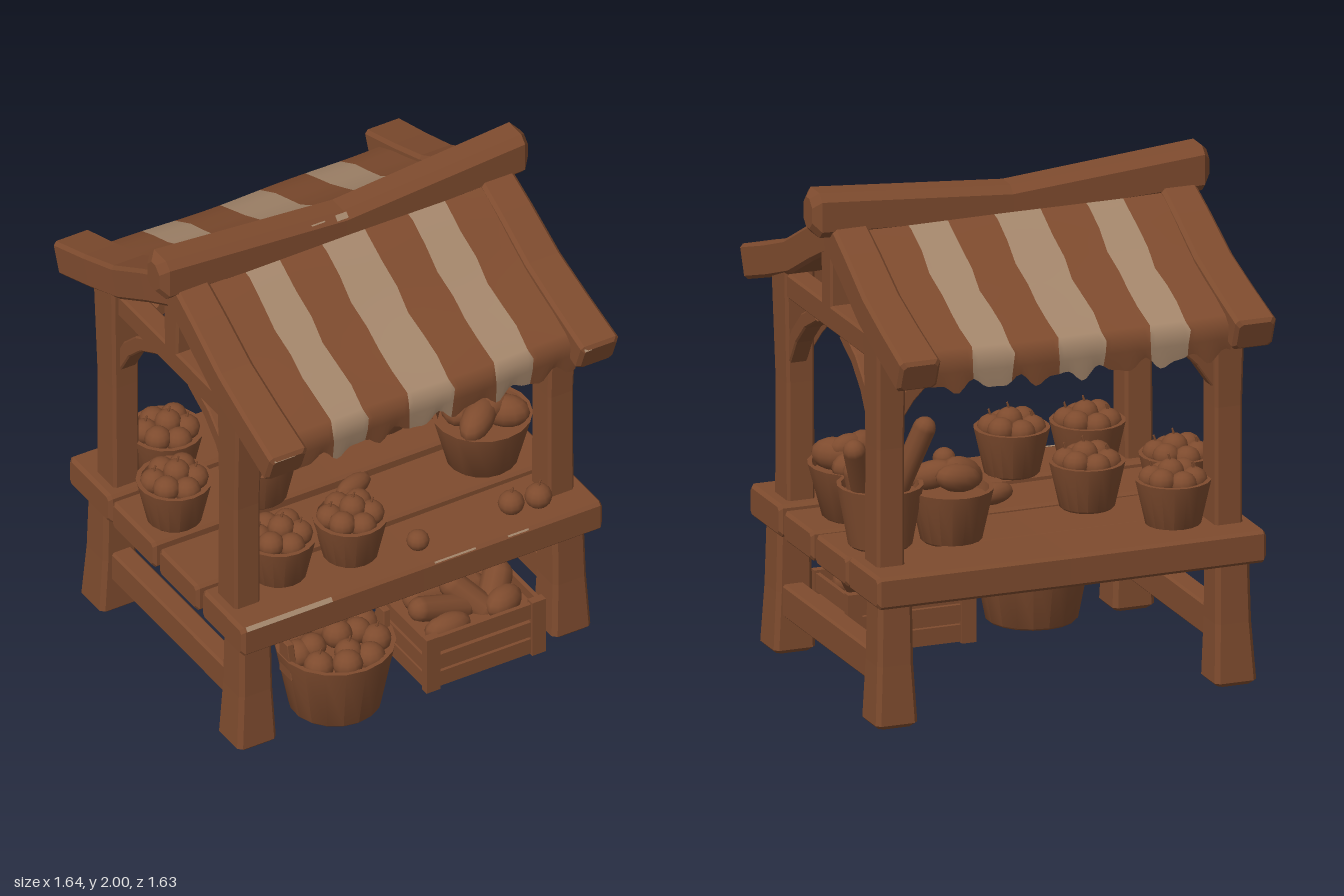
import * as THREE from 'three';
import { toCreasedNormals } from 'three/addons/utils/BufferGeometryUtils.js';

const wood = new THREE.MeshStandardMaterial({ color: 0x7e4b2e, side: THREE.DoubleSide });
wood.name = 'brown wood';
const cream = new THREE.MeshStandardMaterial({ color: 0xa4866b, side: THREE.DoubleSide });
cream.name = 'cream cloth';

const V3 = (x, y, z) => new THREE.Vector3(x, y, z);
const X = V3(1, 0, 0), Y = V3(0, 1, 0), Z = V3(0, 0, 1);

export function createModel() {
  const root = new THREE.Group();
  root.name = 'marketStall';

  const add = (name, geo, parent = root, mat = wood) => {
    const m = new THREE.Mesh(geo, mat);
    m.name = name;
    parent.add(m);
    return m;
  };

  // Chamfered timber lofted through stations [x, y, z, w, h]; w runs along U, h along V.
  function beam(name, stations, U, V, parent = root, bevel = 0.1) {
    const st = stations.map(s => ({ p: V3(s[0], s[1], s[2]), w: s[3], h: s[4] }));
    const c = bevel * Math.min(st[0].w, st[0].h);
    const capped = (a, b) => {
      const inner = { ...a, p: a.p.clone().add(b.p.clone().sub(a.p).setLength(c)) };
      return [{ p: a.p, w: a.w - 2 * c, h: a.h - 2 * c }, inner];
    };
    const n = st.length;
    const all = [...capped(st[0], st[1]), ...st.slice(1, -1), ...capped(st[n - 1], st[n - 2]).reverse()];
    const rings = all.map(({ p, w, h }) => {
      const a = w / 2, b = h / 2;
      return [[a, c - b], [a, b - c], [a - c, b], [c - a, b], [-a, b - c], [-a, c - b], [c - a, -b], [a - c, -b]]
        .map(([u, v]) => p.clone().addScaledVector(U, u).addScaledVector(V, v));
    });
    const flip = U.clone().cross(V).dot(st[n - 1].p.clone().sub(st[0].p)) < 0;
    const pos = [];
    const tri = (a, b, d) => (flip ? [a, d, b] : [a, b, d]).forEach(q => pos.push(q.x, q.y, q.z));
    for (let i = 0; i + 1 < rings.length; i++) for (let j = 0; j < 8; j++) {
      const k = (j + 1) % 8, A = rings[i], B = rings[i + 1];
      tri(A[j], A[k], B[k]);
      tri(A[j], B[k], B[j]);
    }
    const last = rings[rings.length - 1];
    for (let j = 1; j < 7; j++) {
      tri(rings[0][0], rings[0][j + 1], rings[0][j]);
      tri(last[0], last[j], last[j + 1]);
    }
    const g = new THREE.BufferGeometry();
    g.setAttribute('position', new THREE.Float32BufferAttribute(pos, 3));
    g.computeVertexNormals();
    return add(name, g, parent);
  }

  // Counter planks
  [[0.495, 0.31, 0.565, 0.13], [0.165, 0.29, 0.56, 0.12], [-0.17, 0.32, 0.56, 0.12], [-0.495, 0.31, 0.565, 0.13]]
    .forEach(([z, d, y, h]) => beam('counterPlank',
      [[-0.81, y, z, d, h], [0, y - 0.004, z, d - 0.008, h], [0.795, y, z, d, h]], Z, Y));

  // Posts, rafters and braces at the four corners
  const roof = [[0, 1.89], [0.2, 1.79], [0.4, 1.68], [0.6, 1.607], [0.82, 1.535]];
  for (const sx of [-1, 1]) {
    for (const sz of [-1, 1]) {
      beam('leg', [[sx * 0.7 - 0.008, 0, sz * 0.513, 0.172, 0.168], [sx * 0.698 - 0.006, 0.25, sz * 0.508, 0.148, 0.15],
        [sx * 0.696 - 0.006, 0.53, sz * 0.505, 0.14, 0.142]], X, Z);
      beam('post', [[sx * 0.698 - 0.01, 0.6, sz * 0.45, 0.115, 0.14], [sx * 0.698 - 0.01, 1.1, sz * 0.452, 0.114, 0.132],
        [sx * 0.7 - 0.008, 1.6, sz * 0.464, 0.125, 0.155]], X, Z);
      const up = V3(0, 0.93, 0.36 * sz);
      beam('rafter', roof.map(([z, y], i) =>
        [sx * (0.677 + 0.004 * i) - 0.007, y - 0.064, sz * (z - 0.024), 0.147 + 0.005 * i, 0.138]), X, up);
      beam('sideBrace', [[0.41, 1.2], [0.345, 1.305], [0.255, 1.39], [0.13, 1.455]].map(([z, y]) =>
        [sx * 0.7, y, sz * z, 0.075, 0.062]), X, V3(0, 0.73, 0.68 * sz));
      beam('longBrace', [[0.67, 1.2], [0.605, 1.295], [0.52, 1.38], [0.4, 1.46]].map(([x, y]) =>
        [sx * x, y, sz * 0.46, 0.075, 0.062]), Z, V3(0.68 * sx, 0.73, 0));
    }
    beam('stretcher', [[sx * 0.7, 0.215, -0.47, 0.09, 0.13], [sx * 0.7, 0.215, 0.47, 0.09, 0.13]], X, Y);
    beam('crossTie', [[sx * 0.7, 1.49, -0.45, 0.09, 0.1], [sx * 0.7, 1.49, 0.45, 0.09, 0.1]], X, Y);
    beam('kingPost', [[sx * 0.7, 1.52, 0, 0.09, 0.095], [sx * 0.7, 1.86, 0, 0.09, 0.11]], X, Z);
    beam('eavesBeam', [[-0.7, 1.5, sx * 0.46, 0.08, 0.09], [0.7, 1.5, sx * 0.46, 0.08, 0.09]], Z, Y);
  }
  beam('ridgeBeam', [[-0.82, 1.91, 0, 0.15, 0.18], [0, 1.86, 0, 0.14, 0.15], [0.82, 1.91, 0, 0.15, 0.18]], Z, Y, root, 0.2);

  // Pale worn edges on the counter, ridge and rafter ends: [x, y, z, length, height]
  [[-0.6, 0.624, 0.644, 0.38, 0.02], [0.14, 0.621, 0.642, 0.18, 0.008], [0.42, 0.622, 0.643, 0.09, 0.008],
    [-0.015, 1.921, 0.056, 0.05, 0.025], [-0.12, 1.928, 0.057, 0.06, 0.006], [-0.72, 1.524, 0.811, 0.09, 0.012],
    [0.63, 1.524, 0.811, 0.03, 0.014]].forEach(([x, y, z, w, h]) => {
    const m = add('wornEdge', new THREE.BoxGeometry(w, h, 0.005), root, cream);
    m.position.set(x, y, z);
    m.rotation.x = -Math.PI / 4;
  });

  // Striped awning with a ragged hanging edge
  const slope = [[0, 1.86], [0.1, 1.825], [0.2, 1.77], [0.3, 1.71], [0.4, 1.655], [0.5, 1.615], [0.6, 1.58], [0.7, 1.535]];
  const hang = [[0.73, 1.505], [0.728, 1.45], [0.718, 1.385]];
  function sheet(name, x0, x1, side, rows, drop, mat) {
    const cols = Math.max(6, Math.round((x1 - x0) * 50)), pos = [], idx = [];
    rows.forEach(([z, y], r) => {
      const edge = x => Math.abs(x) > 0.6 ? x : x + 0.006 * Math.sin(r * 2.3 + x * 17);
      const a = edge(x0), b = edge(x1);
      for (let i = 0; i <= cols; i++) {
        const x = a + (b - a) * i / cols;
        const sag = -0.012 * Math.cos(x * 2.4) * z;
        const ragged = r === rows.length - 1 && rows.length > 8
          ? 0.02 * Math.sin(x * 36 + side) + 0.01 * Math.sin(x * 61) : 0;
        pos.push(x, y + sag + ragged - drop, side * (z + 0.006 * z * Math.sin(x * 9)));
      }
    });
    for (let r = 0; r + 1 < rows.length; r++) for (let i = 0; i < cols; i++) {
      const p = r * (cols + 1) + i, q = p + cols + 1;
      idx.push(...(side > 0 ? [p, q, p + 1, p + 1, q, q + 1] : [p, p + 1, q, p + 1, q + 1, q]));
    }
    const g = new THREE.BufferGeometry();
    g.setAttribute('position', new THREE.Float32BufferAttribute(pos, 3));
    g.setIndex(idx);
    g.computeVertexNormals();
    add(name, g, root, mat);
  }
  const stripes = [-0.63, -0.455, -0.3, -0.112, 0.08, 0.27, 0.434, 0.63];
  for (const side of [-1, 1]) {
    for (let i = 0; i < 7; i++)
      sheet('awningStripe', stripes[i], stripes[i + 1], side, [...slope, ...hang], 0, i % 2 ? cream : wood);
    sheet('awningLining', -0.63, 0.63, side, slope, 0.02, wood);
  }
  sheet('liningPatch', -0.45, -0.38, 1, slope.slice(2, 6), 0.025, cream);

  // Produce
  const ball = new THREE.SphereGeometry(1, 12, 8);
  const stemGeo = new THREE.CylinderGeometry(0.004, 0.006, 0.035, 5);
  function apple(parent, x, y, z, r, stem) {
    const m = add('apple', ball, parent);
    m.position.set(x, y, z);
    m.scale.set(r, r * 0.92, r);
    if (!stem) return;
    const s = add('appleStem', stemGeo, parent);
    s.position.set(x + 0.004, y + r, z);
    s.rotation.z = -0.3;
  }
  function loaf(parent, x, y, z, len, r, ry = 0, rz = 0) {
    const m = add('loaf', ball, parent);
    m.position.set(x, y, z);
    m.scale.set(len / 2, r, r);
    m.rotation.set(0, ry, rz);
  }
  function baguette(parent, from, to, r) {
    const a = V3(...from), d = V3(...to).sub(a), len = d.length();
    const m = add('baguette', new THREE.CapsuleGeometry(r, len - 2 * r, 4, 10), parent);
    m.position.copy(a).addScaledVector(d, 0.5);
    m.quaternion.setFromUnitVectors(Y, d.normalize());
  }

  // Tapered tub with a recessed top
  function basket(name, x, y, z, rt, rb, h) {
    const g = new THREE.Group();
    g.name = name;
    g.position.set(x, y, z);
    root.add(g);
    const pts = [[0, 0], [rb - 0.008, 0], [rb, 0.008], [rt, h], [rt - 0.018, h], [rt - 0.025, h - 0.035], [0, h - 0.035]];
    add('tub', toCreasedNormals(new THREE.LatheGeometry(pts.map(p => new THREE.Vector2(...p)), 18), 0.6), g);
    return g;
  }
  function heap(g, rt, h, n, r) {
    for (let i = 0; i < n; i++) {
      const a = i * 2 * Math.PI / n + 0.4;
      apple(g, Math.cos(a) * (rt - r - 0.015), h + 0.008 * Math.sin(i * 4), Math.sin(a) * (rt - r - 0.015), r, i % 3 === 0);
    }
    apple(g, 0.01, h + r * 0.55, 0, r, true);
  }
  [[-0.495, 0.39], [-0.195, 0.42], [-0.655, -0.12], [-0.3, -0.08], [-0.52, -0.41]].forEach(([x, z]) =>
    heap(basket('appleBasket', x, 0.62, z, 0.148, 0.108, 0.185), 0.148, 0.185, 6, 0.053));

  // Large basket on the ground, with two ears
  const floorTub = basket('groundBasket', -0.305, 0.005, 0.49, 0.235, 0.18, 0.29);
  heap(floorTub, 0.235, 0.28, 9, 0.06);
  for (let i = 0; i < 4; i++)
    apple(floorTub, 0.1 * Math.cos(i * 1.57), 0.295, 0.1 * Math.sin(i * 1.57), 0.055, i === 1);
  for (const s of [-1, 1])
    beam('basketEar', [[s * 0.205, 0.2, 0, 0.03, 0.09], [s * 0.215, 0.365, 0, 0.03, 0.06]], X, Z, floorTub);

  // Bread baskets
  const round = basket('breadBasket', 0.55, 0.62, 0.155, 0.195, 0.14, 0.215);
  loaf(round, -0.06, 0.25, 0.07, 0.22, 0.062, 0.6, 0.25);
  loaf(round, 0.07, 0.235, 0.06, 0.19, 0.065, -0.7);
  loaf(round, 0.06, 0.23, -0.09, 0.18, 0.06, 0.3);
  loaf(round, -0.08, 0.225, -0.06, 0.17, 0.06, 1.3);
  loaf(round, 0.02, 0.265, 0.04, 0.17, 0.05, 0.2);
  const small = basket('breadBasket', 0.335, 0.62, -0.26, 0.165, 0.12, 0.21);
  loaf(small, -0.06, 0.25, 0.03, 0.2, 0.06, 0.4, 0.5);
  loaf(small, 0.06, 0.25, 0.05, 0.2, 0.055, -0.5, -0.3);
  loaf(small, 0, 0.265, -0.07, 0.2, 0.055, 0.2, 0.2);
  const tall = basket('baguetteBasket', 0.61, 0.62, -0.215, 0.168, 0.125, 0.245);
  baguette(tall, [-0.03, 0.1, 0.02], [-0.16, 0.515, -0.1], 0.045);
  baguette(tall, [0.04, 0.1, 0.02], [0.175, 0.47, -0.15], 0.045);
  baguette(tall, [0, 0.1, -0.04], [0.02, 0.45, -0.12], 0.045);
  baguette(tall, [0, 0.13, 0.03], [-0.14, 0.33, 0.05], 0.05);
  baguette(tall, [0.05, 0.13, 0.04], [0.09, 0.33, 0.05], 0.05);

  // Loose goods on the counter
  loaf(root, 0.01, 0.655, 0.1, 0.18, 0.042, 0.3);
  apple(root, 0.035, 0.67, 0.54, 0.045, false);
  apple(root, 0.45, 0.69, 0.54, 0.052, true);
  apple(root, 0.565, 0.685, 0.55, 0.054, true);

  // Slatted crate of bread
  const crate = new THREE.Group();
  crate.name = 'crate';
  crate.position.set(0.278, 0, 0.455);
  root.add(crate);
  const box = (name, w, h, d, x, y, z) =>
    add(name, new THREE.BoxGeometry(w, h, d), crate).position.set(x, y, z);
  box('crateInside', 0.48, 0.19, 0.31, 0, 0.115, 0);
  for (const s of [-1, 1]) {
    for (const t of [-1, 1]) box('cratePost', 0.06, 0.25, 0.035, s * 0.235, 0.135, t * 0.17);
    for (const y of [0.05, 0.13, 0.215]) {
      box('longSlat', 0.5, 0.068, 0.018, 0, y, s * 0.168);
      box('endSlat', 0.018, 0.068, 0.33, s * 0.25, y, 0);
    }
  }
  baguette(crate, [-0.25, 0.31, 0.04], [0.04, 0.21, 0.02], 0.05);
  baguette(crate, [-0.05, 0.33, -0.06], [0.1, 0.17, 0.08], 0.055);
  baguette(crate, [0.2, 0.33, -0.04], [0.08, 0.15, 0.06], 0.06);
  baguette(crate, [-0.2, 0.25, -0.09], [0.16, 0.2, -0.1], 0.05);
  loaf(crate, 0.14, 0.23, 0.08, 0.18, 0.06, 0.4);
  loaf(crate, -0.12, 0.22, 0.1, 0.2, 0.055);

  return root;
}
